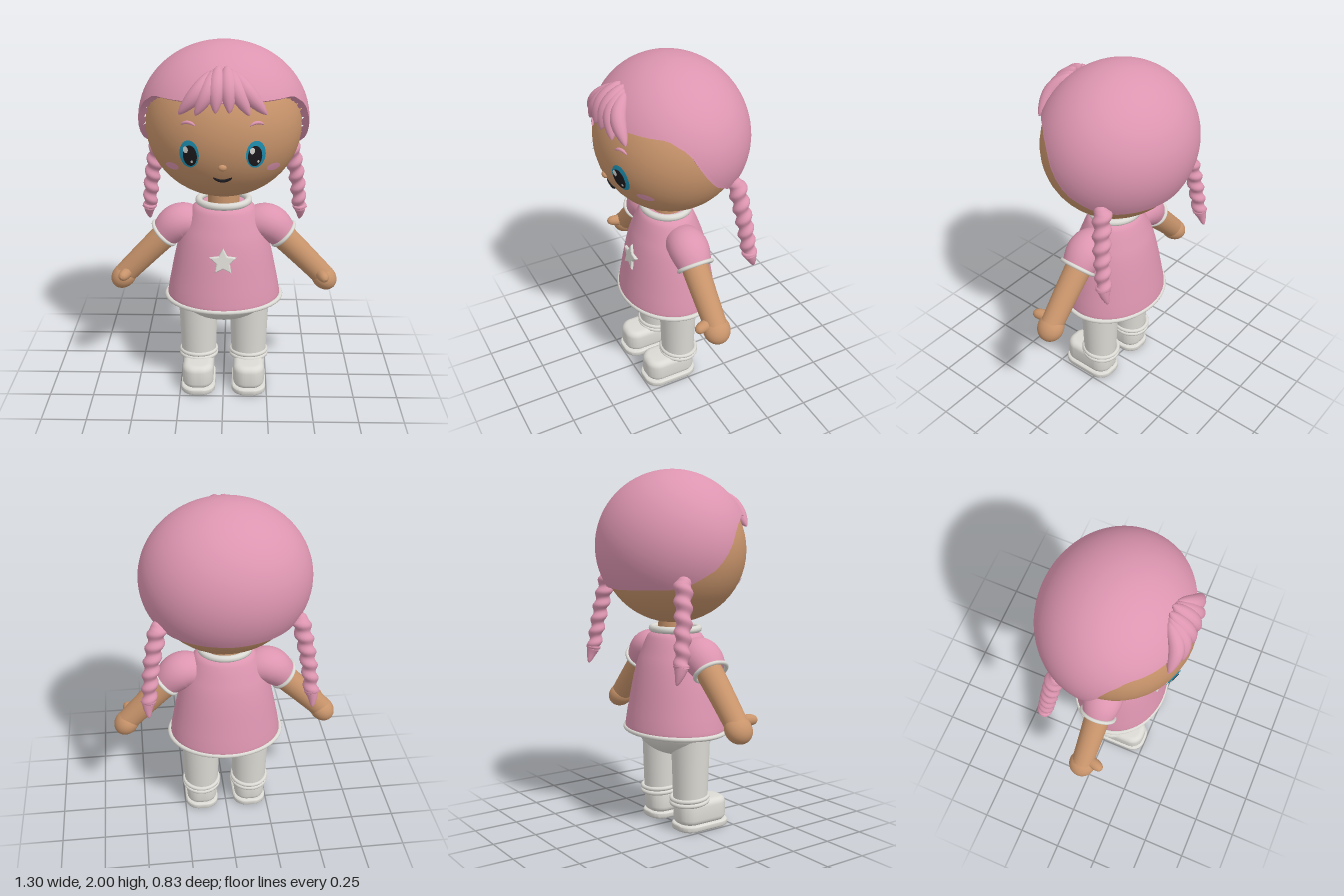
import * as THREE from 'three';
import { mergeVertices, toCreasedNormals } from 'three/addons/utils/BufferGeometryUtils.js';

const mat = (name, color, side = THREE.FrontSide) => {
  const m = new THREE.MeshStandardMaterial({ color, side });
  m.name = name;
  return m;
};
const V = (x, y, z) => new THREE.Vector3(x, y, z);

// Tube along points whose radius follows r(t, angle)
function sweep(pts, r, n = 24, m = 14) {
  const curve = new THREE.CatmullRomCurve3(pts);
  const g = new THREE.TubeGeometry(curve, n, 1, m);
  const p = g.attributes.position, v = V();
  for (let i = 0; i <= n; i++) {
    const c = curve.getPointAt(i / n);
    for (let j = 0; j <= m; j++) {
      const k = i * (m + 1) + j;
      v.fromBufferAttribute(p, k).sub(c).multiplyScalar(r(i / n, (j % m) / m * Math.PI * 2)).add(c);
      p.setXYZ(k, v.x, v.y, v.z);
    }
  }
  g.deleteAttribute('uv');
  g.deleteAttribute('normal');
  const out = mergeVertices(g, 1e-5);
  out.computeVertexNormals();
  return out;
}

// Head ellipsoid, and points on its front
const HEAD = { c: V(0, 1.56, 0.005), r: V(0.42, 0.4, 0.395) };
function onFace(x, y, lift = 0) {
  const a = x / HEAD.r.x, b = (y - HEAD.c.y) / HEAD.r.y;
  return V(x, y, HEAD.c.z + HEAD.r.z * Math.sqrt(Math.max(0, 1 - a * a - b * b)) + lift);
}
function facePlate(cx, cy, rx, ry, lift) {
  const g = new THREE.RingGeometry(0, 1, 28, 4), p = g.attributes.position;
  for (let i = 0; i < p.count; i++) {
    const v = onFace(cx + p.getX(i) * rx, cy + p.getY(i) * ry, lift);
    p.setXYZ(i, v.x, v.y, v.z);
  }
  g.computeVertexNormals();
  return g;
}

// Hair cap: a sphere whose lower edge follows a hairline
const HAIRLINE = [[0, 1.75], [58, 1.75], [73, 1.69], [83, 1.57], [93, 1.475], [112, 1.395], [130, 1.365], [180, 1.355]];
function hairEdge(deg) {
  let i = 0;
  while (i < HAIRLINE.length - 2 && deg > HAIRLINE[i + 1][0]) i++;
  const [a, ya] = HAIRLINE[i], [b, yb] = HAIRLINE[i + 1];
  return ya + (yb - ya) * (deg - a) / (b - a);
}
function hairCap() {
  const W = 72, H = 28, g = new THREE.SphereGeometry(1, W, H), p = g.attributes.position;
  for (let iy = 0; iy <= H; iy++) for (let ix = 0; ix <= W; ix++) {
    const phi = ix / W * Math.PI * 2, x = -Math.cos(phi), z = Math.sin(phi);
    const deg = Math.abs(Math.atan2(x, z)) * 180 / Math.PI;
    const end = Math.acos((hairEdge(deg) - 1.58) / 0.42);
    const th = end * Math.min(1, iy / (H - 2));
    const k = iy <= H - 2 ? 1 : iy === H - 1 ? 0.94 : 0.87; // fold the rim inwards
    p.setXYZ(iy * (W + 1) + ix, x * Math.sin(th) * 0.46 * k, 1.58 + Math.cos(th) * 0.42 * k, z * Math.sin(th) * 0.41 * k - 0.005);
  }
  g.deleteAttribute('uv');
  g.deleteAttribute('normal');
  return toCreasedNormals(mergeVertices(g, 1e-5), 0.8);
}

// Rounded slab lying flat, bottom at y = 0
function slab(w, l, h, corner, bevel) {
  const a = w / 2 - bevel, b = l / 2 - bevel, c = corner - bevel, s = new THREE.Shape();
  s.moveTo(a, -b + c).lineTo(a, b - c).absarc(a - c, b - c, c, 0, Math.PI / 2);
  s.lineTo(-a + c, b).absarc(-a + c, b - c, c, Math.PI / 2, Math.PI);
  s.lineTo(-a, -b + c).absarc(-a + c, -b + c, c, Math.PI, Math.PI * 1.5);
  s.lineTo(a - c, -b).absarc(a - c, -b + c, c, Math.PI * 1.5, Math.PI * 2);
  const g = new THREE.ExtrudeGeometry(s, { depth: h - 2 * bevel, bevelThickness: bevel, bevelSize: bevel, bevelSegments: 5, curveSegments: 8 });
  return toCreasedNormals(g.rotateX(-Math.PI / 2).translate(0, bevel, 0), 0.7);
}

export function createModel() {
  const root = new THREE.Group();
  const pink = mat('pink', 0xdd95b0), cloth = mat('pink cloth', 0xdd95b0, THREE.DoubleSide);
  const skin = mat('skin', 0xc8946b), white = mat('white', 0xdcdad4);
  const teal = mat('teal', 0x1f93b5), black = mat('black', 0x1c1a1e);
  const add = (name, g, m, x = 0, y = 0, z = 0) => {
    const o = new THREE.Mesh(g, m);
    o.name = name;
    o.position.set(x, y, z);
    root.add(o);
    return o;
  };
  const ball = (name, m, x, y, z, rx, ry, rz) => {
    const o = add(name, new THREE.SphereGeometry(1, 40, 28), m, x, y, z);
    o.scale.set(rx, ry, rz);
    return o;
  };
  const ring = (name, m, r, t, x, y, z, sz = 1) => {
    const o = add(name, new THREE.TorusGeometry(r, t, 10, 48).rotateX(Math.PI / 2), m, x, y, z);
    o.scale.z = sz;
    return o;
  };

  // Head and face
  ball('head', skin, ...HEAD.c.toArray(), ...HEAD.r.toArray());
  add('hair', hairCap(), pink);
  const n = onFace(0, 1.42);
  ball('nose', skin, 0, 1.42, n.z, 0.022, 0.018, 0.016);
  add('mouth', sweep([-0.05, -0.027, 0, 0.027, 0.05].map(x => onFace(x, 1.338 + 8 * x * x, 0.002)),
    t => 0.009 * Math.sqrt(Math.sin(Math.PI * t) + 1e-4), 20, 8), black);

  // Torso
  const profile = [[0.285, 0.6], [0.29, 0.565], [0.318, 0.56], [0.314, 0.61], [0.297, 0.7], [0.27, 0.83], [0.243, 0.93],
    [0.215, 1.0], [0.188, 1.06], [0.165, 1.095], [0.13, 1.112], [0.08, 1.115]];
  const lathe = new THREE.LatheGeometry(new THREE.SplineCurve(profile.map(p => new THREE.Vector2(...p))).getPoints(48), 56);
  add('shirt', lathe, cloth, 0, 0, 0.02).scale.z = 0.84;
  const hem = ring('shirtHem', white, 0.325, 0.014, 0, 0.555, 0.02, 0.82);
  hem.scale.y = 0.9;
  ring('collar', white, 0.138, 0.02, 0, 1.125, 0.02, 0.92);
  add('neck', new THREE.CylinderGeometry(0.085, 0.09, 0.16, 32), skin, 0, 1.15, 0.01);
  ball('hips', white, 0, 0.58, 0.02, 0.27, 0.175, 0.21);

  // Chest star
  const star = new THREE.Shape();
  for (let i = 0; i < 10; i++) {
    const r = i % 2 ? 0.031 : 0.066, a = Math.PI / 2 + i * Math.PI / 5;
    star[i ? 'lineTo' : 'moveTo'](r * Math.cos(a), r * Math.sin(a));
  }
  star.closePath();
  add('star', new THREE.ExtrudeGeometry(star, { depth: 0.02, bevelSize: 0.008, bevelThickness: 0.01, bevelSegments: 3 }),
    white, 0, 0.84, 0.225).rotation.x = -0.17;

  for (const s of [1, -1]) {
    const side = s > 0 ? 'left' : 'right';

    // Eye, brow, cheek
    const ex = s * 0.168;
    add(side + 'Iris', facePlate(ex, 1.487, 0.05, 0.075, 0.005), teal);
    add(side + 'Pupil', facePlate(ex - s * 0.004, 1.48, 0.036, 0.057, 0.009), black);
    add(side + 'EyeShine', facePlate(ex - 0.018, 1.512, 0.013, 0.018, 0.013), white);
    add(side + 'EyeGlint', facePlate(ex + 0.013, 1.45, 0.006, 0.008, 0.013), white);
    add(side + 'Brow', sweep([-0.037, -0.018, 0, 0.018, 0.037].map(d => onFace(s * 0.172 + d, 1.65 - 10 * d * d, 0.001)),
      t => 0.009 * Math.sqrt(Math.sin(Math.PI * t) + 1e-4), 16, 8), pink);
    add(side + 'Cheek', facePlate(s * 0.262, 1.397, 0.035, 0.022, 0.005), pink);

    // Fringe locks
    [[[0.05, 1.89, 0.27], [0.12, 1.8, 0.34], [0.22, 1.688, 0.35]],
      [[0.035, 1.9, 0.265], [0.075, 1.8, 0.355], [0.135, 1.69, 0.385]],
      [[0.02, 1.915, 0.26], [0.03, 1.81, 0.36], [0.035, 1.705, 0.4]]].forEach((k, i) =>
      add(side + 'FringeLock' + i, sweep(k.map(([x, y, z]) => V(s * x, y, z)),
        t => 0.042 * Math.pow(Math.max(0, Math.sin(Math.PI * Math.pow(t, 0.9))), 0.65) + 1e-4), pink));

    // Braid, tie and tuft
    add(side + 'Braid', sweep([V(s * 0.365, 1.44, -0.19), V(s * 0.415, 1.2, -0.225), V(s * 0.442, 0.98, -0.255)],
      (t, a) => (0.047 - 0.01 * t + 0.007 * Math.sin(t * Math.PI * 12 + s * a)) * Math.min(1, Math.sqrt(t * 12 + 1e-4)), 72, 18), pink);
    ring(side + 'BraidTie', pink, 0.03, 0.012, s * 0.442, 0.99, -0.255).rotation.set(0.15, 0, s * 0.1);
    add(side + 'BraidTuft', sweep([V(s * 0.441, 0.995, -0.253), V(s * 0.447, 0.95, -0.268), V(s * 0.445, 0.895, -0.287)],
      t => 0.042 * Math.min(1, 0.65 + 2 * t) * Math.sqrt(1 - t) * (1 - 0.3 * t) + 1e-4), pink);

    // Sleeve, cuff, arm, hand
    add(side + 'Sleeve', sweep([V(s * 0.15, 0.99, 0), V(s * 0.245, 0.992, 0), V(s * 0.335, 0.922, 0)],
      t => 0.085 + 0.018 * Math.sin(Math.PI * t), 24, 28), cloth, 0, 0, 0.015).scale.z = 1.08;
    const cuff = add(side + 'Cuff', new THREE.TorusGeometry(0.083, 0.011, 10, 40).rotateY(Math.PI / 2), white, s * 0.336, 0.921, 0.015);
    cuff.rotation.z = -s * 0.77;
    cuff.scale.z = 1.15;
    add(side + 'Arm', sweep([V(s * 0.25, 0.99, 0.015), V(s * 0.42, 0.82, 0.015), V(s * 0.565, 0.67, 0.012)],
      t => 0.077 - 0.014 * t, 16, 28), skin);
    const hand = ball(side + 'Hand', skin, s * 0.575, 0.653, 0.012, 0.08, 0.066, 0.076);
    hand.rotation.z = -s * 0.78;
    add(side + 'Thumb', sweep([V(s * 0.545, 0.685, 0.03), V(s * 0.56, 0.692, 0.09), V(s * 0.575, 0.69, 0.138)],
      t => 0.032 * Math.sqrt(Math.max(0, 1 - Math.pow(t, 5))) + 1e-4), skin);

    // Leg and ankle rings
    const lx = s * 0.147;
    add(side + 'Leg', new THREE.CylinderGeometry(0.116, 0.1, 0.44, 36), white, lx, 0.37, 0.02).scale.z = 0.94;
    [0.185, 0.16].forEach((y, i) => {
      ring(side + 'AnkleRing' + i, white, 0.102, 0.012, lx, y, 0.015).rotation.x = -0.08;
    });

    // Shoe
    add(side + 'ShoeUpper', slab(0.18, 0.305, 0.14, 0.075, 0.035), white, lx, 0.03, 0.085);
    add(side + 'ShoeSole', slab(0.197, 0.325, 0.038, 0.08, 0.01), white, lx, 0, 0.087);
  }
  return root;
}
